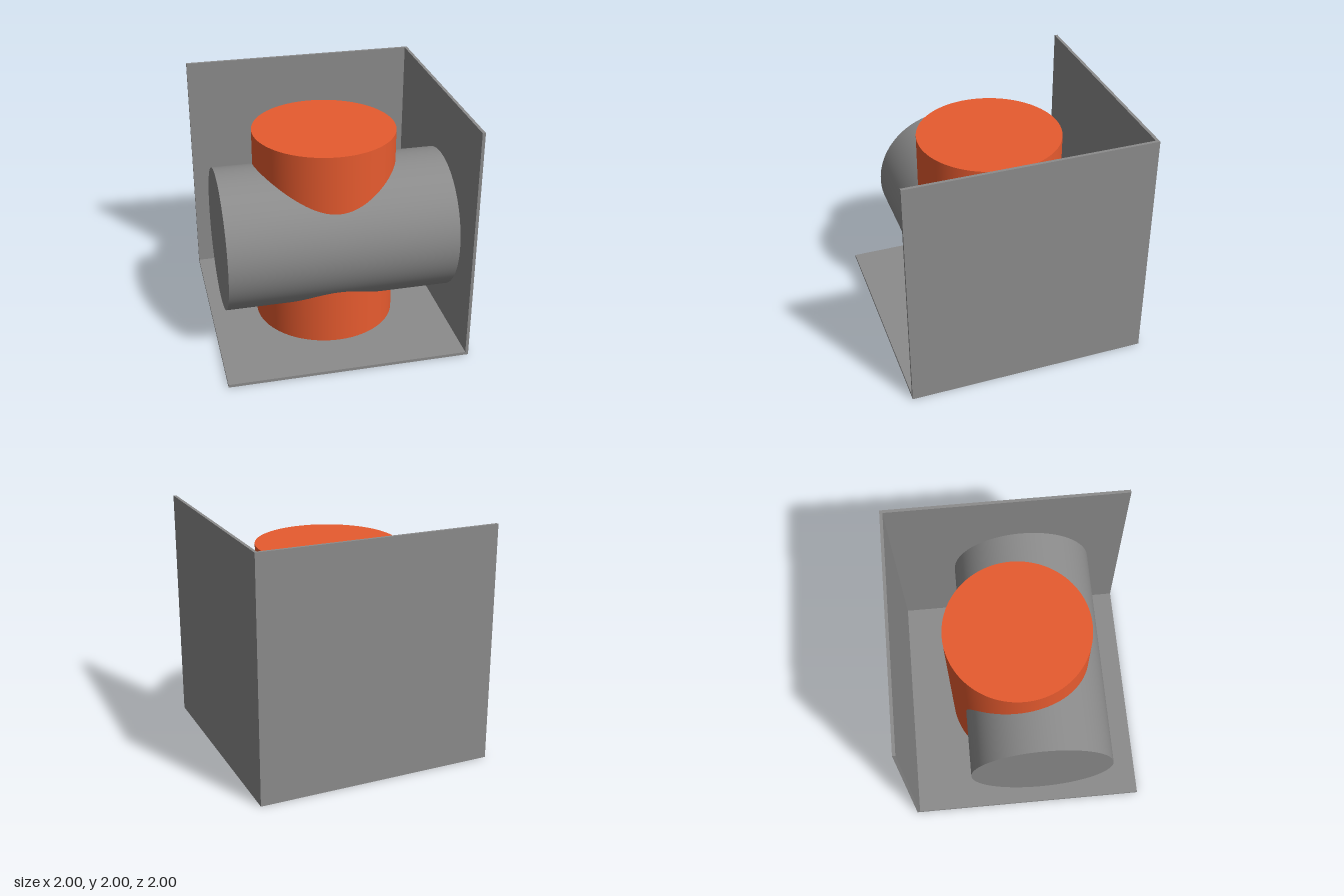
import * as THREE from 'three';

export function createModel() {
  const model = new THREE.Group();
  const grey = new THREE.MeshStandardMaterial({ color: 0x8c8c8c });
  const orange = new THREE.MeshStandardMaterial({ color: 0xe75b2f });

  const add = (name, geometry, material, x, y, z) => {
    const mesh = new THREE.Mesh(geometry, material);
    mesh.name = name;
    mesh.position.set(x, y, z);
    model.add(mesh);
    return mesh;
  };

  // Three thin plates meeting at one corner
  const t = 0.025;
  add('floorPlate', new THREE.BoxGeometry(2, t, 2), grey, 0, t / 2, 0);
  add('backPlate', new THREE.BoxGeometry(2, 2 - t, t), grey, 0, 1 + t / 2, -1 + t / 2);
  add('sidePlate', new THREE.BoxGeometry(t, 2 - t, 2 - t), grey, 1 - t / 2, 1 + t / 2, t / 2);

  // Equal-radius cylinders crossing with offset axes
  const radius = 0.594;
  const cylinder = (from, to) => new THREE.CylinderGeometry(radius, radius, to - from, 96);

  const top = 1.722;
  add('uprightCylinder', cylinder(t, top), orange, 0, (t + top) / 2, 0);

  const left = -0.924, right = 1 - t;
  add('crossCylinder', cylinder(left, right), grey, (left + right) / 2, 0.86, 0.125)
    .rotation.z = Math.PI / 2;

  return model;
}
